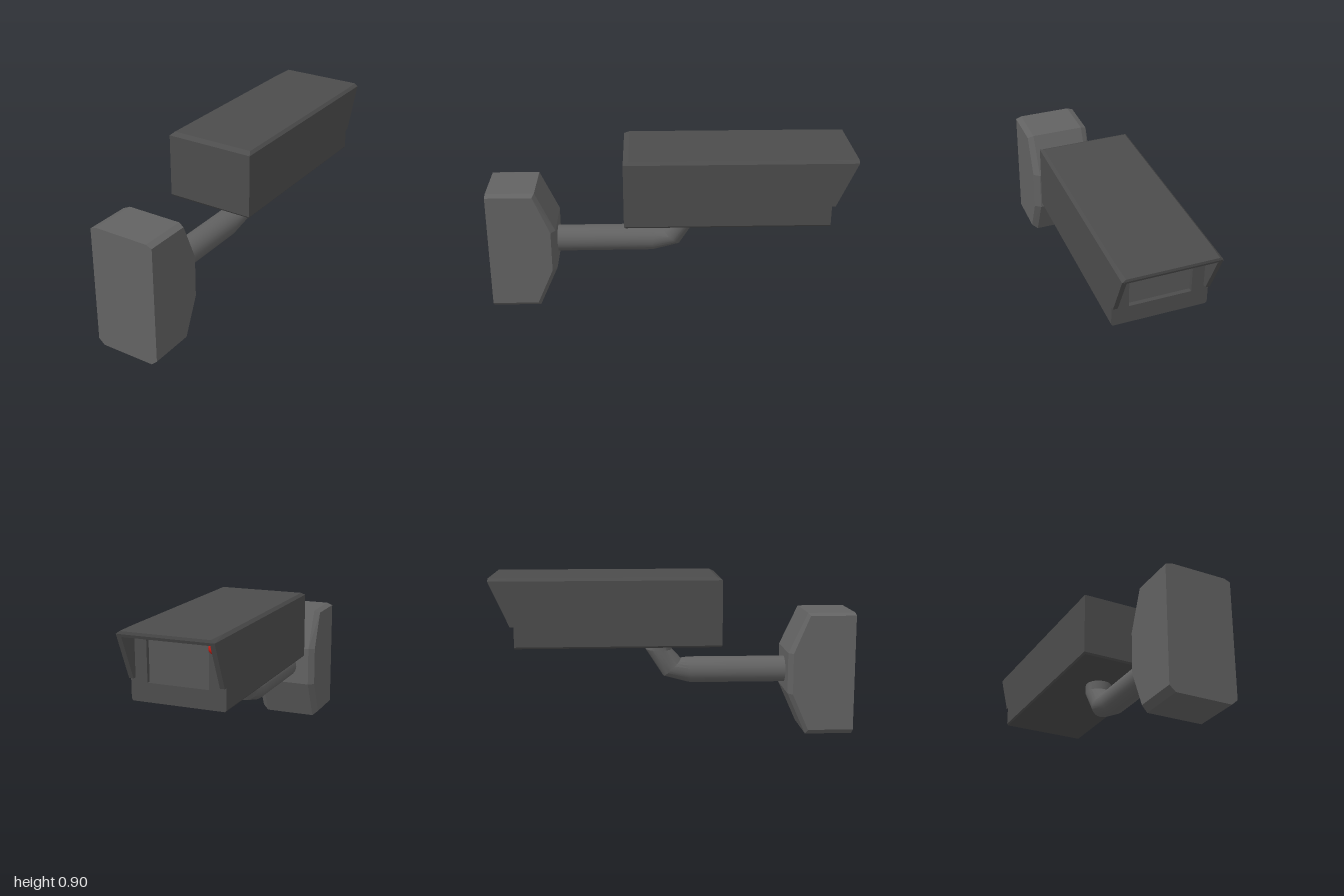
import * as THREE from 'three';
import { toCreasedNormals, mergeVertices } from 'three/addons/utils/BufferGeometryUtils.js';
import { ConvexGeometry } from 'three/addons/geometries/ConvexGeometry.js';

const paint = (color) => new THREE.MeshStandardMaterial({ color });
const bodyPaint = paint(0x4c4c4c);
const mountPaint = paint(0x626262);
const glassPaint = paint(0x565656);
const redPaint = paint(0xcc1a10);

// Solid hull through mirrored points: each [x, y, z] is used at +x and -x
function mirroredHull(points) {
  return new ConvexGeometry(points.flatMap(([x, y, z]) =>
    [new THREE.Vector3(x, y, z), new THREE.Vector3(-x, y, z)]));
}

// Bent pipe with mitred joints; each joint is [y, z, halfY, halfZ]
function pipe(joints, radius, sides) {
  const geo = new THREE.CylinderGeometry(1, 1, 1, sides, joints.length - 1, true);
  const pos = geo.attributes.position;
  for (let i = 0; i < pos.count; i++) {
    const [y, z, hy, hz] = joints[Math.floor(i / (sides + 1))];
    const c = pos.getZ(i);
    pos.setXYZ(i, pos.getX(i) * radius, y - hy * c, z - hz * c);
  }
  geo.deleteAttribute('uv');
  geo.deleteAttribute('normal');
  return toCreasedNormals(mergeVertices(geo), 0.35);
}

export function createModel() {
  const group = new THREE.Group();
  const add = (name, geo, mat) => {
    const mesh = new THREE.Mesh(geo, mat);
    mesh.name = name;
    group.add(mesh);
    return mesh;
  };

  // Wall mount: tapered block with chamfered sides
  const mountProfile = [[0, 1], [0, 0.735], [0.235, 0.63], [0.465, 0.63], [0.69, 0.735], [0.69, 1]];
  const mountSide = [[0.03, 1], [0.03, 0.745], [0.235, 0.655], [0.465, 0.655], [0.677, 0.745], [0.677, 1]];
  add('wallMount', mirroredHull([
    ...mountProfile.map(([y, z]) => [0.153, y, z]),
    ...mountSide.map(([y, z]) => [0.187, y, z]),
  ]), mountPaint);

  // Support arm bending up into the housing
  add('supportArm', pipe([
    [0.347, 0.64, 0.074, 0],
    [0.348, 0.09, 0.074, -0.005],
    [0.365, -0.01, 0.05, 0.05],
    [0.47, -0.085, 0, 0.074],
    [0.53, -0.085, 0, 0.074],
  ], 0.075, 24), mountPaint);

  // Housing with chamfered upper and lower edges
  const recess = -0.84, face = -0.87;
  add('housing', mirroredHull([
    [0.255, 0.885, 0.25], [0.255, 0.53, 0.25], [0.247, 0.52, 0.242], [0.24, 0.9, 0.22],
    [0.255, 0.885, recess], [0.255, 0.53, recess], [0.247, 0.52, recess], [0.24, 0.9, recess],
  ]), bodyPaint);

  // Frame around the recessed window
  const frame = new THREE.Shape([[-0.247, 0.52], [0.247, 0.52], [0.255, 0.53], [0.255, 0.885],
    [0.24, 0.9], [-0.24, 0.9], [-0.255, 0.885], [-0.255, 0.53]].map(([x, y]) => new THREE.Vector2(x, y)));
  frame.holes.push(new THREE.Path([[-0.165, 0.62], [-0.165, 0.84], [0.165, 0.84], [0.165, 0.62]]
    .map(([x, y]) => new THREE.Vector2(x, y))));
  const frameGeo = new THREE.ExtrudeGeometry(frame, { depth: recess - face, bevelEnabled: false });
  add('windowFrame', frameGeo.translate(0, 0, face), bodyPaint);
  const glass = new THREE.BoxGeometry(0.33, 0.22, 0.01);
  add('window', glass.translate(0, 0.73, recess - 0.002), glassPaint);

  // Sun hood: roof slab and two slanted cheeks
  add('hoodRoof', mirroredHull([
    [0.255, 0.87, face], [0.255, 0.885, face], [0.24, 0.9, face],
    [0.255, 0.87, -0.993], [0.255, 0.885, -1], [0.235, 0.9, -1],
  ]), bodyPaint);
  for (const side of [1, -1]) {
    const cheek = [[0.64, face], [0.64, -0.89], [0.88, -0.998], [0.88, face]]
      .flatMap(([y, z]) => [0.23, 0.255].map((x) => new THREE.Vector3(side * x, y, z)));
    add(side > 0 ? 'hoodCheekLeft' : 'hoodCheekRight', new ConvexGeometry(cheek), bodyPaint);
  }

  // Status light beside the window
  add('statusLight', new THREE.SphereGeometry(0.03, 20, 14), redPaint).position.set(-0.2, 0.83, -0.88);

  return group;
}
